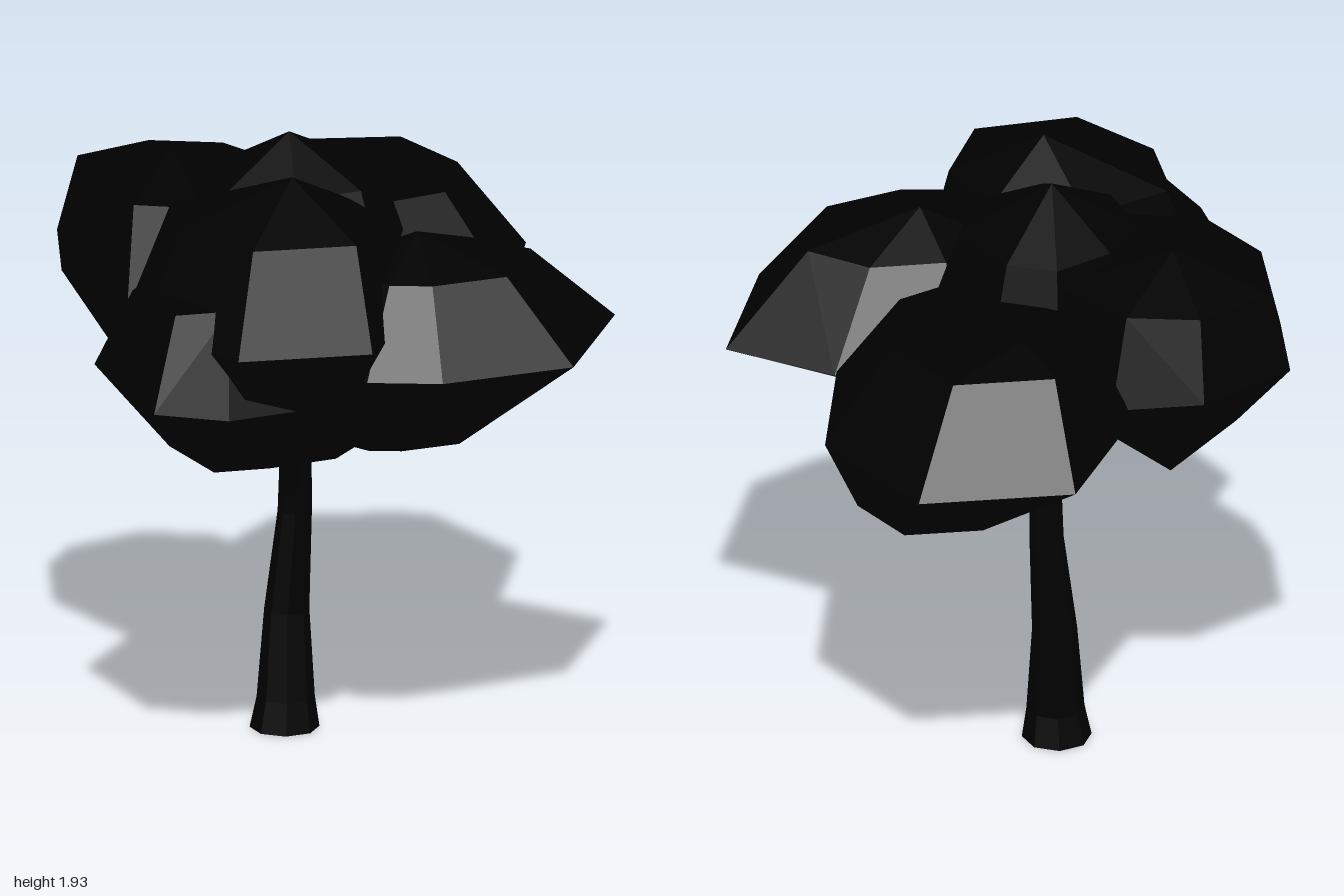
import * as THREE from 'three';
import { ConvexGeometry } from 'three/addons/geometries/ConvexGeometry.js';

const black = new THREE.MeshStandardMaterial({ color: 0x000000 });
black.name = 'black';
black.flatShading = true;

// Faceted leaf clump: a widest ring, smaller copies of it above and below, and two tips.
// upper and lower: scale of the copy, its centre (ring) and the tip beyond it
function leafClump(name, [cx, cz], upper, lower, widest) {
  const points = widest.map((p) => new THREE.Vector3(...p));
  for (const { scale, ring, tip } of [upper, lower]) {
    for (const [x, , z] of widest) {
      points.push(new THREE.Vector3(ring[0] + (x - cx) * scale, ring[1], ring[2] + (z - cz) * scale));
    }
    points.push(new THREE.Vector3(...tip));
  }
  const mesh = new THREE.Mesh(new ConvexGeometry(points), black);
  mesh.name = name;
  return mesh;
}

// Tapered limb through horizontal rings [x, y, z, radius], listed from the bottom up
function limb(name, rings, sides) {
  const rows = rings.length - 1;
  const geometry = new THREE.CylinderGeometry(1, 1, 1, sides, rows);
  const pos = geometry.attributes.position;
  for (let i = 0; i < pos.count; i++) {
    const [x, y, z, r] = rings[Math.round((pos.getY(i) + 0.5) * rows)];
    pos.setXYZ(i, x + pos.getX(i) * r, y, z + pos.getZ(i) * r);
  }
  geometry.computeVertexNormals();
  const mesh = new THREE.Mesh(geometry, black);
  mesh.name = name;
  return mesh;
}

export function createModel() {
  const tree = new THREE.Group();
  tree.name = 'tree';

  // Trunk and forking branches
  tree.add(
    limb('trunk', [
      [-0.075, 0, -0.125, 0.108], [-0.075, 0.1, -0.12, 0.09], [-0.065, 0.38, -0.125, 0.07],
      [-0.05, 0.7, -0.105, 0.053], [-0.052, 0.85, -0.1, 0.05], [-0.052, 1.2, -0.07, 0.05],
    ], 8),
    limb('leftBranch', [[-0.075, 0.76, -0.1, 0.034], [-0.16, 0.92, -0.02, 0.032], [-0.28, 1.12, 0.09, 0.03]], 6),
    limb('rightBranch', [[-0.05, 0.84, -0.125, 0.032], [0.03, 0.99, -0.195, 0.03], [0.14, 1.16, -0.29, 0.028]], 6),
  );

  // Canopy clumps
  tree.add(
    leafClump('frontLeaves', [0.06, 0.42],
      { scale: 0.57, ring: [0, 1.61, 0.43], tip: [-0.02, 1.7, 0.38] },
      { scale: 0.44, ring: [-0.13, 1.085, 0.42], tip: [-0.12, 1.03, 0.36] },
      [
        [0.12, 1.34, 0.91], [0.58, 1.35, 0.66], [0.51, 1.36, 0.28], [0.2, 1.36, 0],
        [-0.2, 1.35, 0], [-0.44, 1.34, 0.24], [-0.43, 1.34, 0.55], [-0.28, 1.34, 0.73],
      ]),
    leafClump('sideLeaves', [0.46, -0.27],
      { scale: 0.65, ring: [0.4, 1.66, -0.27], tip: [0.45, 1.7, -0.43] },
      { scale: 0.5, ring: [0.5, 1.08, -0.12], tip: [0.2, 1.045, -0.06] },
      [
        [1, 1.37, -0.47], [0.89, 1.37, 0], [0.5, 1.37, 0.28], [0.1, 1.37, 0.16],
        [-0.06, 1.37, -0.25], [0.16, 1.42, -0.66], [0.64, 1.37, -0.8],
      ]),
    leafClump('backLeaves', [-0.15, -0.48],
      { scale: 0.8, ring: [-0.15, 1.73, -0.5], tip: [-0.15, 1.81, -0.53] },
      { scale: 0.62, ring: [-0.19, 1.23, -0.43], tip: [-0.14, 1.04, -0.53] },
      [
        [-0.25, 1.48, -0.92], [0.08, 1.47, -0.85], [0.25, 1.44, -0.62], [0.22, 1.42, -0.25],
        [-0.05, 1.4, -0.05], [-0.42, 1.4, -0.1], [-0.57, 1.42, -0.33], [-0.5, 1.46, -0.67],
      ]),
    leafClump('tallLeaves', [-0.39, 0.14],
      { scale: 0.77, ring: [-0.365, 1.77, 0.14], tip: [-0.34, 1.9, 0.15] },
      { scale: 0.7, ring: [-0.39, 1.18, 0.14], tip: [-0.39, 1.06, 0.14] },
      [
        [-0.8, 1.45, 0.35], [-0.46, 1.45, 0.6], [-0.12, 1.45, 0.45], [-0.01, 1.45, 0.13],
        [-0.18, 1.45, -0.22], [-0.55, 1.45, -0.33], [-0.79, 1.45, -0.06],
      ]),
    leafClump('lowLeaves', [-0.5, 0.04],
      { scale: 0.72, ring: [-0.5, 1.57, 0.04], tip: [-0.5, 1.6, 0.04] },
      { scale: 0.75, ring: [-0.4, 1.06, 0.12], tip: [-0.5, 0.98, 0.05] },
      [
        [-1, 1.29, 0.18], [-0.86, 1.34, -0.2], [-0.58, 1.33, -0.31], [-0.25, 1.28, -0.28],
        [-0.06, 1.22, 0.02], [-0.22, 1.25, 0.33], [-0.52, 1.25, 0.42], [-0.8, 1.25, 0.31],
      ]),
    leafClump('topLeaves', [-0.07, -0.11],
      { scale: 0.82, ring: [-0.06, 1.79, -0.12], tip: [-0.07, 1.93, -0.11] },
      { scale: 0.7, ring: [-0.07, 1.25, -0.11], tip: [-0.07, 1.12, -0.11] },
      [
        [0.28, 1.6, -0.18], [0.2, 1.6, 0.12], [-0.05, 1.6, 0.24], [-0.3, 1.6, 0.14],
        [-0.4, 1.6, -0.12], [-0.28, 1.6, -0.36], [-0.04, 1.6, -0.42], [0.2, 1.6, -0.36],
      ]),
  );

  return tree;
}
